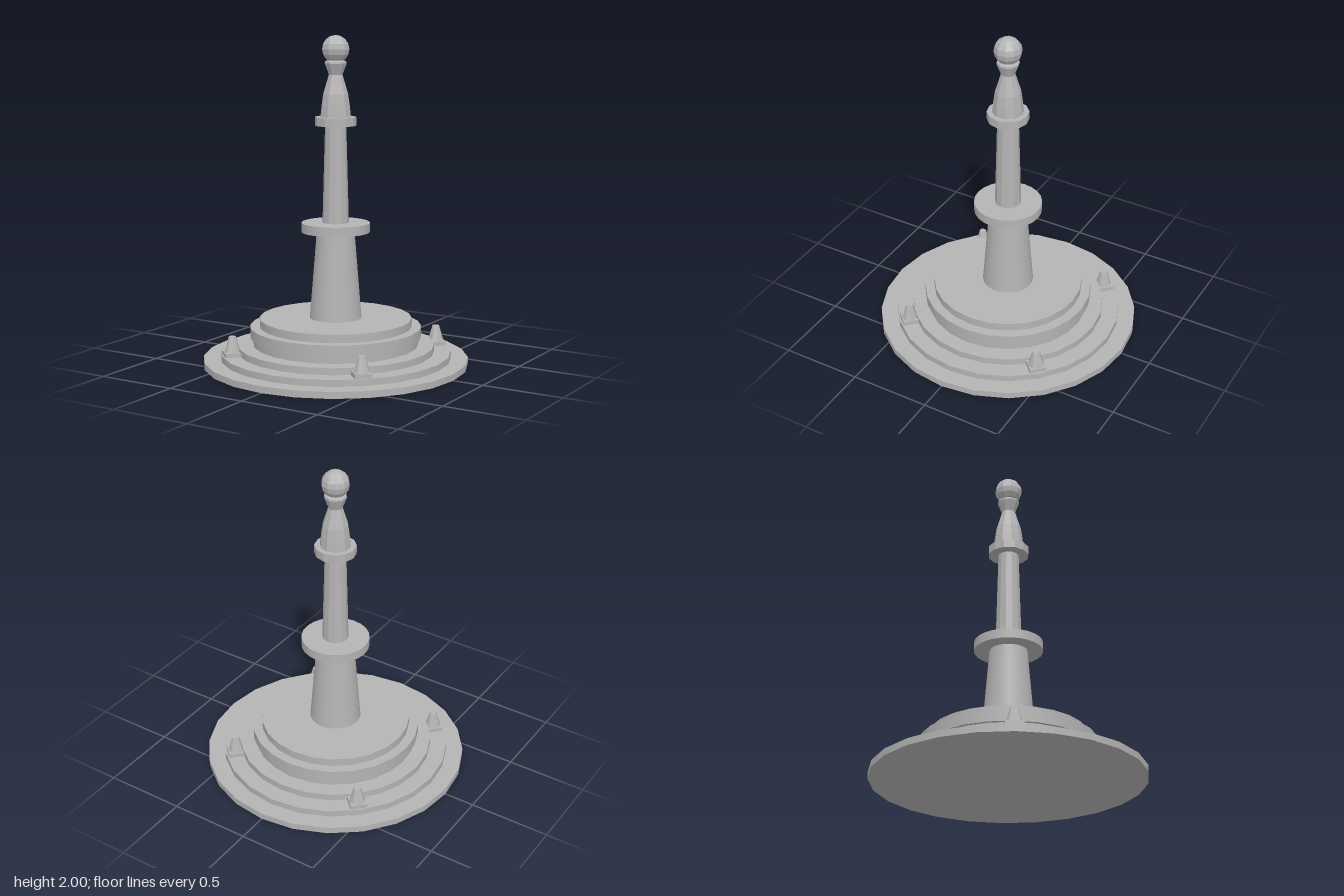
import * as THREE from 'three';

export function createModel() {
  const model = new THREE.Group();
  model.name = 'monument';
  const stone = new THREE.MeshStandardMaterial({ color: 0xb4b4b4 });
  stone.name = 'grey stone';

  const add = (name, geometry, parent = model) => {
    const mesh = new THREE.Mesh(geometry, stone);
    mesh.name = name;
    parent.add(mesh);
    return mesh;
  };
  // Faceted parts get one normal per face
  const faceted = (geometry) => {
    const flat = geometry.toNonIndexed();
    flat.computeVertexNormals();
    return flat;
  };
  // Round section between two heights
  const drum = (y0, y1, r0, r1, sides) =>
    new THREE.CylinderGeometry(r1, r0, y1 - y0, sides).translate(0, (y0 + y1) / 2, 0);

  // Stepped circular base: bottom, top, radius
  const steps = [
    [0, 0.04, 0.81],
    [0.04, 0.08, 0.705],
    [0.08, 0.122, 0.602],
    [0.122, 0.17, 0.505],
    [0.17, 0.235, 0.523],
    [0.235, 0.285, 0.465],
  ];
  steps.forEach(([y0, y1, r], i) => add(`baseStep${i + 1}`, drum(y0, y1, r, r, 24)));

  // Column
  add('lowerShaft', drum(0.285, 0.815, 0.158, 0.115, 24));
  add('lowerCollar', drum(0.815, 0.872, 0.208, 0.208, 24));
  add('upperShaft', faceted(drum(0.872, 1.46, 0.08, 0.064, 12)));
  add('upperCollar', faceted(drum(1.46, 1.512, 0.125, 0.125, 12)));

  // Fluted finial with a flared neck
  const profile = [
    [0, 1.512], [0.094, 1.512], [0.087, 1.58], [0.077, 1.65],
    [0.042, 1.765], [0.068, 1.832], [0.066, 1.843], [0.05, 1.85], [0, 1.85],
  ].map(([r, y]) => new THREE.Vector2(r, y));
  add('finial', faceted(new THREE.LatheGeometry(profile, 10)));
  add('ball', faceted(new THREE.SphereGeometry(0.084, 10, 8).rotateY(Math.PI / 2).translate(0, 1.916, 0)));

  // Four small bollards on the second step
  for (let i = 0; i < 4; i++) {
    const angle = Math.PI / 4 + (i * Math.PI) / 2;
    const bollard = new THREE.Group();
    bollard.name = `bollard${i + 1}`;
    bollard.position.set(0.64 * Math.sin(angle), 0, 0.64 * Math.cos(angle));
    bollard.rotation.y = angle;
    add('bollardFoot', new THREE.BoxGeometry(0.104, 0.028, 0.104).translate(0, 0.092, 0), bollard);
    add('bollardPost', faceted(drum(0.104, 0.2, 0.05, 0.022, 8)), bollard);
    model.add(bollard);
  }
  return model;
}
